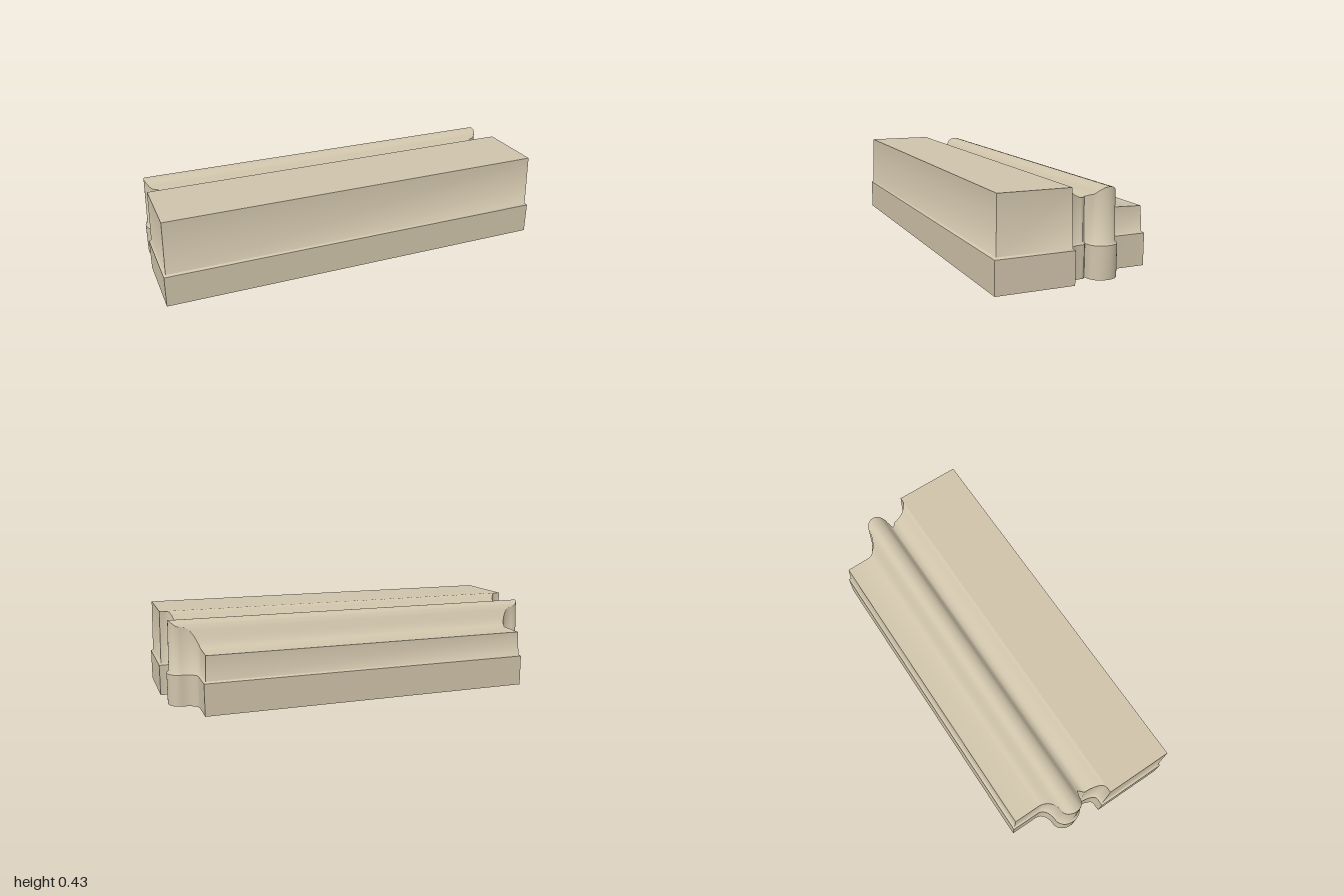
import * as THREE from 'three';
import { mergeGeometries, toCreasedNormals } from 'three/addons/utils/BufferGeometryUtils.js';

// Height of the moulded top at each z, front to back
const TOP = [
  [0.42, 0.433], [0.056, 0.433], [0.045, 0.43], [0.035, 0.421], [0.02, 0.402], [0.005, 0.387],
  [-0.01, 0.377], [-0.03, 0.369], [-0.05, 0.364], [-0.065, 0.364], [-0.08, 0.379], [-0.1, 0.402],
  [-0.12, 0.414], [-0.145, 0.419], [-0.165, 0.416], [-0.185, 0.404], [-0.2, 0.383], [-0.22, 0.343],
  [-0.235, 0.316], [-0.25, 0.299], [-0.265, 0.291], [-0.285, 0.287], [-0.42, 0.287],
];
function topHeight(z) {
  const i = Math.max(1, TOP.findIndex((p) => p[0] <= z));
  const [z0, h0] = TOP[i - 1], [z1, h1] = TOP[i];
  return h0 + (h1 - h0) * (z0 - z) / (z0 - z1);
}

// Plan outline as [x, z]: left end from front to back, then mirrored
function planOutline() {
  const side = [[1, 0.415], [1, 0.035]];
  const arc = (cx, cz, rx, rz, end, n) => {
    for (let i = 0; i <= n; i++) {
      const t = end * i / n;
      side.push([cx + rx * Math.sin(t), cz + rz * Math.cos(t)]);
    }
  };
  arc(0.96, -0.05, -0.035, 0.085, Math.PI / 2, 8); // small cove
  side.push([0.908, -0.062]); // groove
  arc(0.925, -0.1375, 0.06, 0.0725, Math.PI, 18); // rounded bead
  side.pop();
  arc(0.925, -0.265, -0.075, 0.055, Math.PI / 2, 10); // large cove
  side.push([0.85, -0.415]);
  return [...side, ...side.map(([x, z]) => [-x, z]).reverse()];
}

// Move the outline inwards with mitred corners
function inset(loop, d) {
  const n = loop.length;
  const normal = (a, b) => {
    const dx = b[0] - a[0], dz = b[1] - a[1], l = Math.hypot(dx, dz);
    return [-dz / l, dx / l];
  };
  return loop.map((p, i) => {
    const a = normal(loop[(i + n - 1) % n], p), b = normal(p, loop[(i + 1) % n]);
    const k = d / Math.max(0.5, 1 + a[0] * b[0] + a[1] * b[1]);
    return [p[0] - (a[0] + b[0]) * k, p[1] - (a[1] + b[1]) * k];
  });
}

const ring = (loop, height) => loop.map(([x, z]) => [x, height(z), z]);

function creased(triangles, angle) {
  const g = new THREE.BufferGeometry();
  g.setAttribute('position', new THREE.Float32BufferAttribute(triangles.flat(), 3));
  return toCreasedNormals(g, angle);
}

// Walls between stacked rings
function walls(rings) {
  const t = [];
  for (let r = 0; r + 1 < rings.length; r++) {
    const lo = rings[r], hi = rings[r + 1], n = lo.length;
    for (let i = 0; i < n; i++) {
      const j = (i + 1) % n;
      t.push(lo[i], lo[j], hi[j], lo[i], hi[j], hi[i]);
    }
  }
  return creased(t, 0.95);
}

// Surface spanning the two mirrored ends of a ring
function cap(r, up) {
  const t = [], n = r.length;
  for (let i = 0; i + 1 < n / 2; i++) {
    const a = r[n - 1 - i], b = r[i], c = r[i + 1], d = r[n - 2 - i];
    t.push(...(up ? [a, b, c, a, c, d] : [a, c, b, a, d, c]));
  }
  return creased(t, 0.8);
}

export function createModel() {
  const group = new THREE.Group();
  const stone = new THREE.MeshStandardMaterial({ color: 0xd0c4ab });
  stone.name = 'warm stone';
  const add = (name, parts) => {
    const mesh = new THREE.Mesh(mergeGeometries(parts), stone);
    mesh.name = name;
    group.add(mesh);
  };

  const plan = planOutline();
  const foot = ring(plan, () => 0);
  const shoulder = ring(plan, () => 0.157);
  const ledge = ring(inset(plan, 0.01), () => 0.165);
  const crown = ring(inset(plan, 0.0155), topHeight);

  // Straight-sided plinth
  add('plinth', [walls([foot, shoulder]), cap(foot, false)]);
  // Chamfer, slightly tapered body and moulded top
  add('mouldedBody', [walls([shoulder, ledge, crown]), cap(crown, true)]);
  return group;
}
